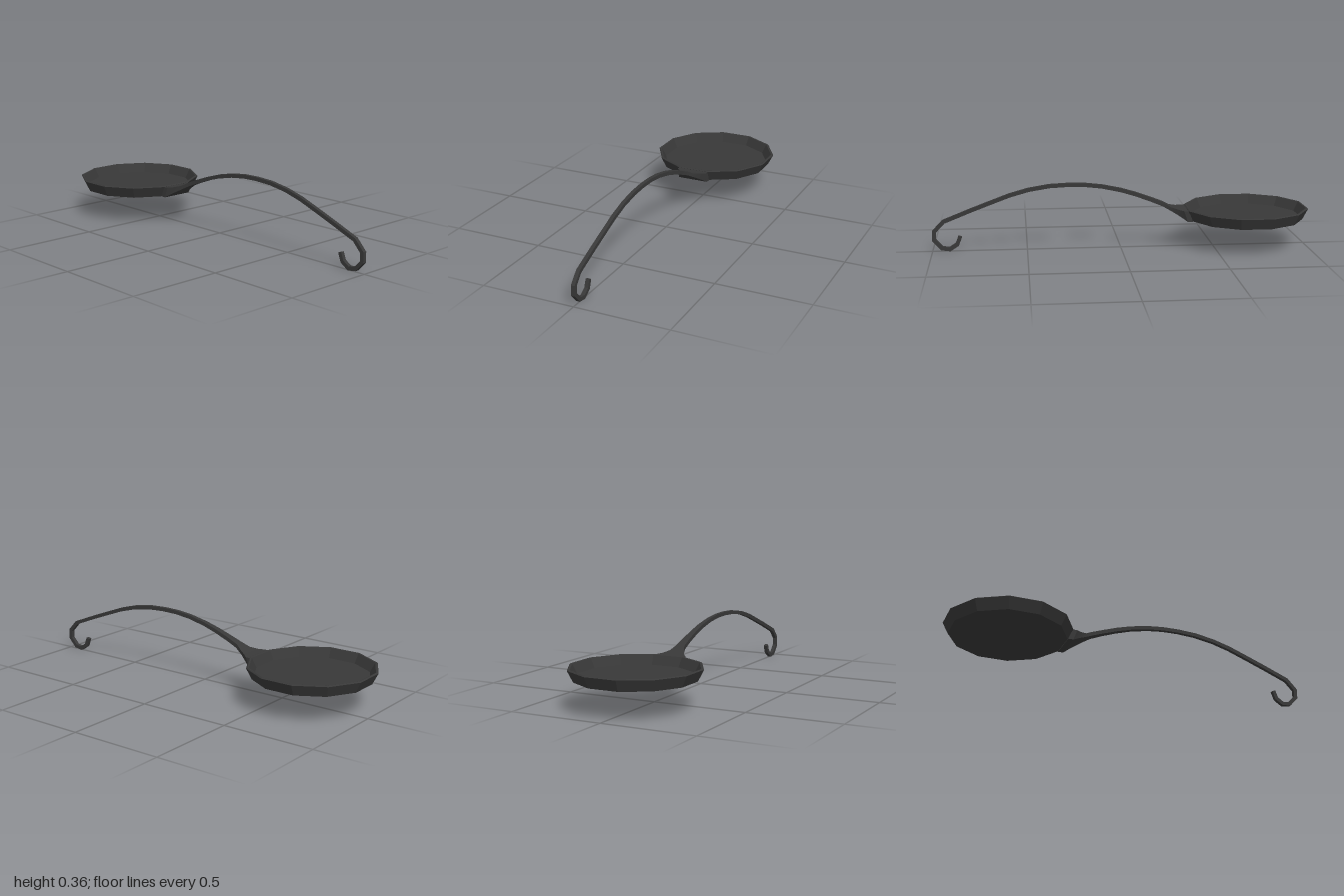
import * as THREE from 'three';
import { toCreasedNormals } from 'three/addons/utils/BufferGeometryUtils.js';

const darkIron = new THREE.MeshStandardMaterial({ color: 0x383838 });
darkIron.name = 'darkIron';

// Twelve-sided pan: profile given as [distance to the flat side, height]
function panGeometry() {
  const profile = [
    [0, 0.15], [0.296, 0.15], [0.324, 0.208], [0.318, 0.213],
    [0.311, 0.211], [0.286, 0.163], [0, 0.163],
  ].map(([a, y]) => new THREE.Vector2(a / Math.cos(Math.PI / 12), y));
  const lathe = new THREE.LatheGeometry(profile, 12, Math.PI / 12);
  return toCreasedNormals(lathe, 0.3);
}

// Rectangular sections of the flared neck: [half width, top z, top y, bottom z, bottom y]
const neck = [
  [0.086, -0.357, 0.207, -0.378, 0.15],
  [0.086, -0.33, 0.208, -0.35, 0.15],
  [0.063, -0.302, 0.212, -0.312, 0.175],
  [0.04, -0.265, 0.222, -0.268, 0.2],
];

// Centre line of the arched handle and its hook: [z, y, half width]
const path = [
  [-0.225, 0.234, 0.024], [-0.16, 0.26, 0.019], [-0.08, 0.289, 0.016], [0, 0.313, 0.013],
  [0.1, 0.334, 0.011], [0.19, 0.344, 0.01], [0.28, 0.346, 0.01], [0.38, 0.341, 0.01],
  [0.49, 0.323, 0.01], [0.59, 0.295, 0.01], [0.7, 0.254, 0.01], [0.8, 0.216, 0.01],
  [0.94, 0.16, 0.01], [0.99, 0.107, 0.01], [0.99, 0.06, 0.01], [0.95, 0.017, 0.01],
  [0.908, 0.011, 0.01], [0.869, 0.037, 0.01], [0.853, 0.08, 0.01],
];

// Turn the centre line into mitred sections of constant thickness
function handleSections(half) {
  const p = path.map(([z, y]) => new THREE.Vector2(z, y));
  return path.map(([z, y, w], i) => {
    const a = p[i].clone().sub(p[Math.max(i - 1, 0)]).normalize();
    const b = p[Math.min(i + 1, p.length - 1)].clone().sub(p[i]).normalize();
    const t = a.clone().add(b).normalize();
    const h = half / Math.max(t.dot(a), t.dot(b));
    return [w, z - t.y * h, y + t.x * h, z + t.y * h, y - t.x * h];
  });
}

// Skin a row of rectangular sections and cap both ends
function loft(sections) {
  const pos = [];
  const index = [];
  sections.forEach(([w, zt, yt, zb, yb], i) => {
    pos.push(w, yt, zt, -w, yt, zt, -w, yb, zb, w, yb, zb);
    if (i === 0) return;
    for (let j = 0; j < 4; j++) {
      const k = (j + 1) % 4;
      const c = i * 4 - 4, n = i * 4;
      index.push(c + j, c + k, n + j, c + k, n + k, n + j);
    }
  });
  const e = sections.length * 4 - 4;
  index.push(0, 2, 1, 0, 3, 2, e, e + 1, e + 2, e, e + 2, e + 3);
  const g = new THREE.BufferGeometry();
  g.setAttribute('position', new THREE.Float32BufferAttribute(pos, 3));
  g.setIndex(index);
  return toCreasedNormals(g, 0.5);
}

export function createModel() {
  const model = new THREE.Group();
  model.name = 'longHandledPan';

  const pan = new THREE.Mesh(panGeometry(), darkIron);
  pan.name = 'pan';
  pan.position.z = -0.676;

  const handle = new THREE.Mesh(loft([...neck, ...handleSections(0.01)]), darkIron);
  handle.name = 'hookedHandle';

  model.add(pan, handle);
  return model;
}
